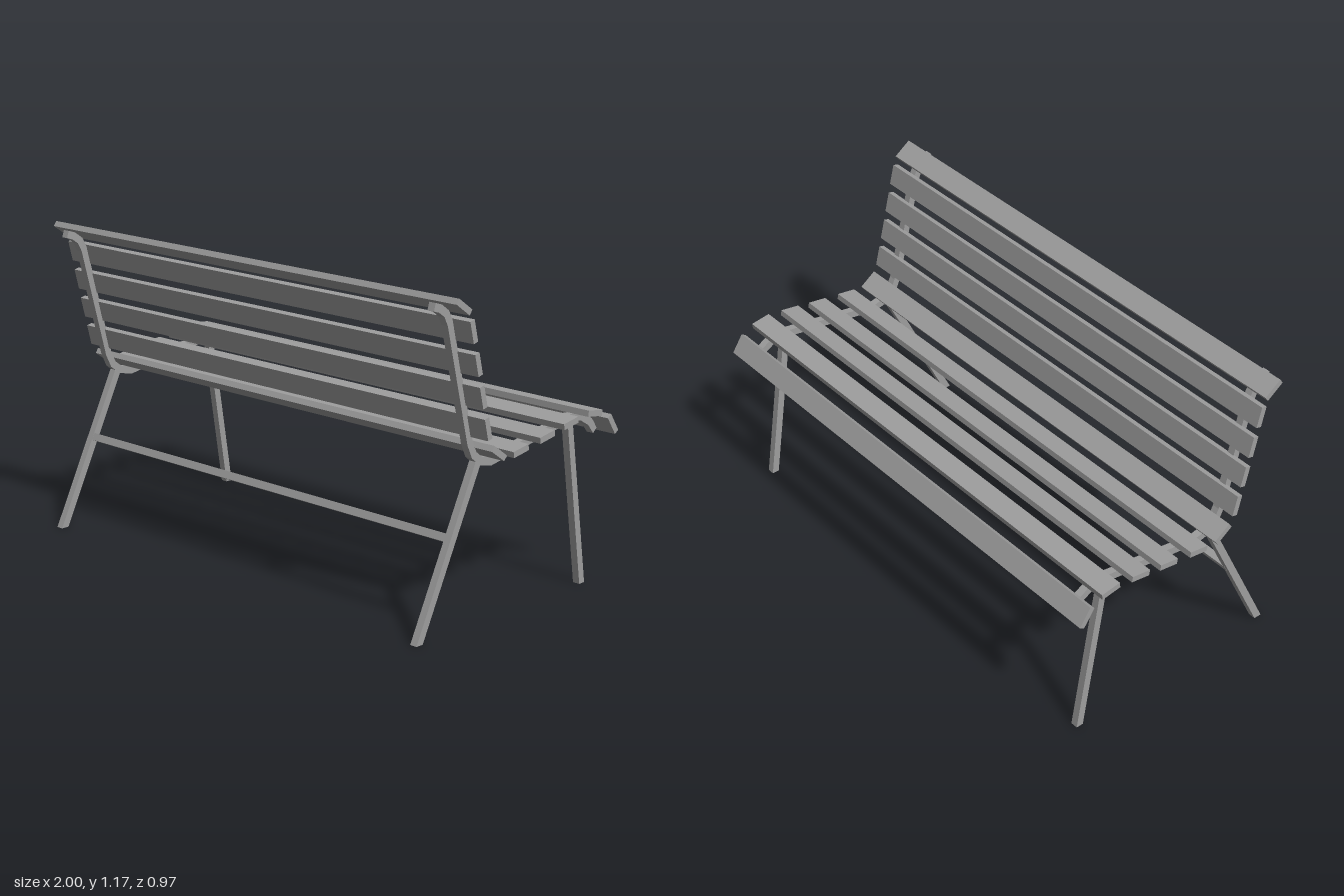
import * as THREE from 'three';

const BAR = 0.028; // square bar thickness
const FRAME_X = 0.91;
const material = new THREE.MeshStandardMaterial({ color: 0x9e9e9e, flatShading: true });

// Extrudes a [z, y] outline to a plate of bar thickness centred on x = 0
function plate(outline) {
  const shape = new THREE.Shape(outline.map(([z, y]) => new THREE.Vector2(z, y)));
  const geometry = new THREE.ExtrudeGeometry(shape, { depth: BAR, bevelEnabled: false });
  return geometry.translate(0, 0, -BAR / 2).rotateY(-Math.PI / 2);
}

// Mitred band of bar thickness along a [z, y] path
function band(path) {
  const points = path.map(([z, y]) => new THREE.Vector2(z, y));
  const sides = [[], []];
  points.forEach((p, i) => {
    const before = p.clone().sub(points[Math.max(i - 1, 0)]).normalize();
    const after = points[Math.min(i + 1, points.length - 1)].clone().sub(p).normalize();
    const along = before.clone().add(after).normalize();
    const ref = i === 0 ? after : before;
    const half = BAR / 2 / along.dot(ref);
    sides[0].push([p.x - along.y * half, p.y + along.x * half]);
    sides[1].unshift([p.x + along.y * half, p.y - along.x * half]);
  });
  return plate([...sides[0], ...sides[1]]);
}

// Leg with ends cut level
function leg(footZ, topZ, topY) {
  const w = (BAR / 2) * Math.hypot(topZ - footZ, topY) / topY;
  return plate([[footZ - w, 0], [footZ + w, 0], [topZ + w, topY], [topZ - w, topY]]);
}

export function createModel() {
  const bench = new THREE.Group();
  bench.name = 'bench';
  const add = (geometry, name, x = 0, y = 0, z = 0, tilt = 0) => {
    const mesh = new THREE.Mesh(geometry, material);
    mesh.name = name;
    mesh.position.set(x, y, z);
    mesh.rotation.x = -THREE.MathUtils.degToRad(tilt);
    bench.add(mesh);
  };

  // Side frames: bent rail carrying seat and back, with two splayed legs
  const rail = band([
    [0.415, 1.136], [0.387, 1.127], [0.356, 1.105], [0.337, 1.068],
    [0.229, 0.647], [0.207, 0.601], [0.17, 0.573], [0.115, 0.561],
    [-0.307, 0.629], [-0.372, 0.622], [-0.421, 0.594], [-0.452, 0.557],
  ]);
  const rearLeg = leg(0.469, 0.183, 0.575);
  const frontLeg = leg(-0.402, -0.306, 0.628);
  for (const [side, x] of [['left', FRAME_X], ['right', -FRAME_X]]) {
    add(rail, `${side}Rail`, x);
    add(rearLeg, `${side}RearLeg`, x);
    add(frontLeg, `${side}FrontLeg`, x);
  }

  // Crossbar between the rear legs, turned to their slant
  add(new THREE.BoxGeometry(FRAME_X * 2, BAR, BAR), 'crossbar', 0, 0.328, 0.305, 26.4);

  // Slats: name, z, y, tilt in degrees
  const slat = new THREE.BoxGeometry(2, 0.022, 0.079);
  [
    ['topSlat', 0.358, 1.139, 35],
    ['backSlat1', 0.308, 1.05, 76],
    ['backSlat2', 0.281, 0.936, 76],
    ['backSlat3', 0.254, 0.822, 76],
    ['backSlat4', 0.226, 0.709, 76],
    ['cornerSlat', 0.168, 0.614, 35],
    ['seatSlat1', 0.053, 0.599, -9],
    ['seatSlat2', -0.087, 0.62, -9],
    ['seatSlat3', -0.216, 0.642, -9],
    ['seatSlat4', -0.35, 0.652, 8],
    ['frontEdgeSlat', -0.454, 0.593, 56],
  ].forEach(([name, z, y, tilt]) => add(slat, name, 0, y, z, tilt));

  return bench;
}
